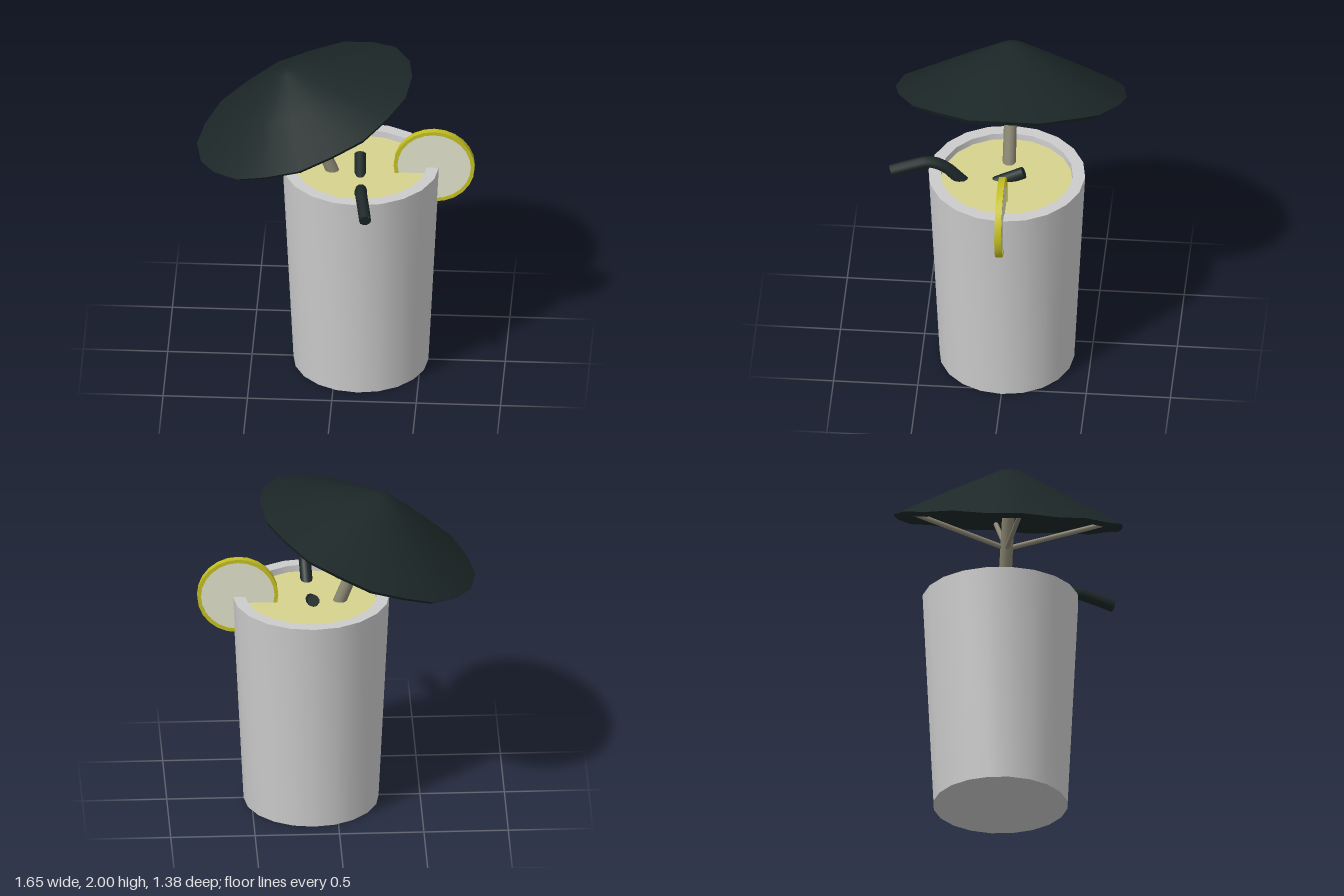
import * as THREE from 'three';
import { toCreasedNormals } from 'three/addons/utils/BufferGeometryUtils.js';

const SIDES = 20;
const V = (x, y, z) => new THREE.Vector3(x, y, z);
const mat = (color) => new THREE.MeshStandardMaterial({ color });
const glassMat = mat(0xcccccc);
const drinkMat = mat(0xd6d28e);
const darkMat = mat(0x1c2727);
const woodMat = mat(0x8a8672);
const rindMat = mat(0xc4bf22);
const fleshMat = mat(0xe2e2cc);

function part(name, geometry, material, parent) {
  const mesh = new THREE.Mesh(geometry, material);
  mesh.name = name;
  parent.add(mesh);
  return mesh;
}

// Solid of revolution with smooth sides and sharp edges
function turned(points, sides = SIDES) {
  const profile = points.map(([x, y]) => new THREE.Vector2(x, y));
  return new THREE.LatheGeometry(profile, sides);
}
const crease = (geometry) => toCreasedNormals(geometry, 0.6);

// Tapered rod between two points
function rod(name, a, b, rA, rB, material, parent, sides = 10) {
  const axis = b.clone().sub(a);
  const mesh = part(name, new THREE.CylinderGeometry(rB, rA, axis.length(), sides), material, parent);
  mesh.position.copy(a).add(b).multiplyScalar(0.5);
  mesh.quaternion.setFromUnitVectors(V(0, 1, 0), axis.normalize());
  return mesh;
}

function createGlass() {
  const glass = new THREE.Group();
  glass.name = 'glass';
  glass.position.x = 0.145;
  part('tumbler', crease(turned([
    [0, 0], [0.4, 0], [0.465, 1.34], [0.392, 1.34], [0.335, 0.06], [0, 0.06],
  ])), glassMat, glass);
  part('drink', crease(turned([
    [0, 0.06], [0.335, 0.06], [0.39, 1.3], [0, 1.3],
  ])), drinkMat, glass);
  return glass;
}

function createUmbrella() {
  const umbrella = new THREE.Group();
  umbrella.name = 'umbrella';
  umbrella.position.set(-0.185, 1.7, 0);
  umbrella.rotation.z = 0.377;

  // Thin paper cone with a gently rippled rim
  const canopy = turned([
    [0, 0.265], [0.66, -0.022], [0.686, 0.004], [0.35, 0.165], [0.06, 0.3], [0, 0.312],
  ]);
  const pos = canopy.attributes.position;
  for (let i = 0; i < pos.count; i++) {
    const x = pos.getX(i), z = pos.getZ(i);
    if (Math.hypot(x, z) < 0.6) continue;
    const step = Math.round(Math.atan2(x, z) / (Math.PI * 2 / SIDES));
    pos.setY(i, pos.getY(i) + (step % 2 ? 0.006 : -0.004));
  }
  part('canopy', crease(canopy), darkMat, umbrella);

  // Stick with a pointed tip, and four struts out to the canopy
  rod('stick', V(0, -0.5, 0), V(0, 0.17, 0), 0.04, 0.036, woodMat, umbrella, 12);
  rod('stickTip', V(0, 0.17, 0), V(0, 0.27, 0), 0.036, 0.006, woodMat, umbrella, 12);
  for (let i = 0; i < 4; i++) {
    const a = i * Math.PI / 2;
    const out = (r, y) => V(Math.cos(a) * r, y, Math.sin(a) * r);
    rod('strut', out(0.01, -0.16), out(0.56, 0.012), 0.015, 0.015, woodMat, umbrella, 8);
    rod('strutTip', out(0.56, 0.012), out(0.6, 0.025), 0.015, 0.004, woodMat, umbrella, 8);
  }
  return umbrella;
}

function createStraw() {
  const straw = new THREE.Group();
  straw.name = 'straw';
  // Bent drinking end: up out of the drink, over the rim
  const path = new THREE.CatmullRomCurve3([
    V(0.155, 1.22, 0.2), V(0.16, 1.31, 0.29), V(0.165, 1.385, 0.365),
    V(0.17, 1.42, 0.455), V(0.187, 1.402, 0.56), V(0.208, 1.37, 0.685),
  ]);
  part('bentStraw', new THREE.TubeGeometry(path, 14, 0.036, 10), darkMat, straw);
  const cap = part('strawEnd', new THREE.CircleGeometry(0.036, 10), darkMat, straw);
  cap.position.copy(path.getPoint(1));
  cap.quaternion.setFromUnitVectors(V(0, 0, 1), path.getTangent(1));
  // Short stub breaking the surface further back
  rod('strawStub', V(0.145, 1.27, 0.07), V(0.135, 1.347, -0.1), 0.036, 0.036, darkMat, straw);
  return straw;
}

function createCitrusSlice() {
  const slice = new THREE.Group();
  slice.name = 'citrusSlice';
  slice.position.set(0.58, 1.35, 0);
  slice.rotation.x = Math.PI / 2;
  part('rind', crease(turned([
    [0.218, -0.02], [0.24, -0.02], [0.24, 0.02], [0.218, 0.02], [0.218, -0.02],
  ], 24)), rindMat, slice);
  part('flesh', new THREE.CylinderGeometry(0.22, 0.22, 0.03, 24), fleshMat, slice);
  return slice;
}

export function createModel() {
  const model = new THREE.Group();
  model.name = 'cocktail';
  model.add(createGlass(), createUmbrella(), createStraw(), createCitrusSlice());
  return model;
}
